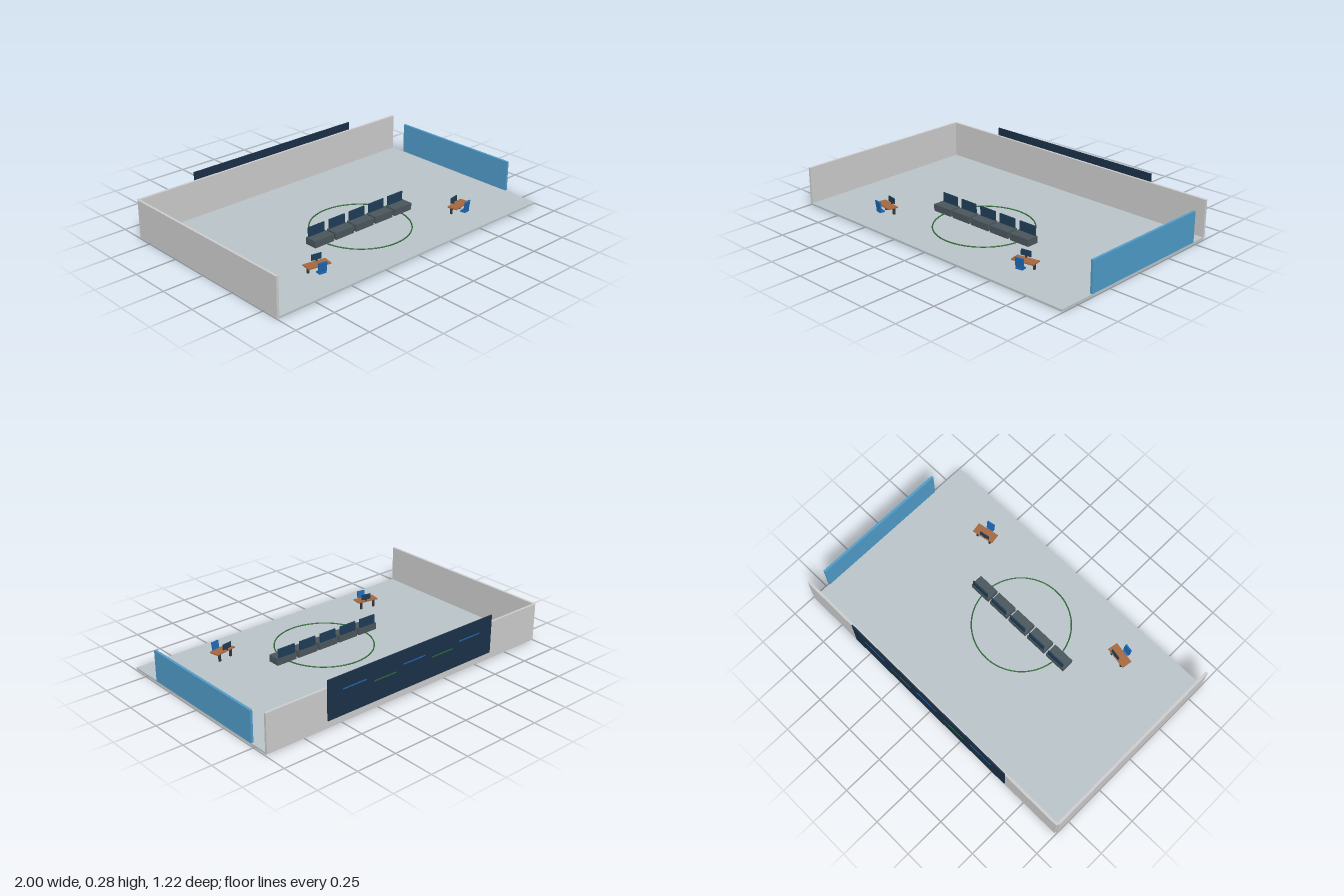
import * as THREE from 'three';

const mat = (color) => new THREE.MeshStandardMaterial({ color });
const M = {
  wall: mat(0xcccccc), floor: mat(0xb9c4c8), glass: mat(0x4f9bc8), board: mat(0x1b3048),
  blue: mat(0x1f68b4), green: mat(0x2f6b38), console: mat(0x4a565c), screen: mat(0x1f3d56),
  wood: mat(0xa5673f), dark: mat(0x33383c),
};

// Box given by its size and centre
function box(parent, name, material, [w, h, d], [x, y, z]) {
  const mesh = new THREE.Mesh(new THREE.BoxGeometry(w, h, d), material);
  mesh.name = name;
  mesh.position.set(x, y, z);
  parent.add(mesh);
  return mesh;
}

// Wide base with an upright display along its rear edge
function makeConsole(x) {
  const g = new THREE.Group();
  g.name = 'console';
  box(g, 'consoleBase', M.console, [0.137, 0.043, 0.077], [0, 0.0325, 0]);
  box(g, 'consoleDisplay', M.screen, [0.117, 0.058, 0.008], [0, 0.082, -0.032]);
  g.position.set(x, 0, 0.144);
  return g;
}

// Two-legged desk with a monitor and a chair; side is +1 or -1
function makeWorkstation(side) {
  const g = new THREE.Group();
  g.name = 'workstation';
  box(g, 'desktop', M.wood, [0.139, 0.007, 0.063], [0, 0.0615, 0]);
  for (const s of [-1, 1]) box(g, 'deskLeg', M.dark, [0.012, 0.046, 0.012], [s * 0.044, 0.035, -0.02]);
  box(g, 'monitorStand', M.dark, [0.01, 0.014, 0.005], [-side * 0.012, 0.07, -0.026]);
  box(g, 'monitor', M.screen, [0.063, 0.034, 0.006], [-side * 0.012, 0.091, -0.026]);

  const chair = new THREE.Group();
  chair.name = 'chair';
  box(chair, 'chairSeat', M.blue, [0.042, 0.008, 0.034], [0, 0.034, 0]);
  const back = box(chair, 'chairBack', M.blue, [0.05, 0.062, 0.009], [0, 0.067, 0.013]);
  back.rotation.x = 0.13;
  chair.position.set(0, 0, 0.043);
  g.add(chair);

  g.position.set(side * 0.551, 0, 0.395);
  g.rotation.y = side * 0.18;
  return g;
}

export function createModel() {
  const model = new THREE.Group();
  model.name = 'controlRoom';

  // Room shell, open at the front
  box(model, 'floor', M.floor, [1.984, 0.012, 1.205], [0, 0.006, 0.008]);
  box(model, 'backWall', M.wall, [1.984, 0.231, 0.015], [0, 0.1215, -0.595]);
  box(model, 'leftHandWall', M.wall, [0.015, 0.231, 1.2], [-0.9925, 0.1215, 0.01]);
  box(model, 'window', M.glass, [0.015, 0.187, 0.872], [0.9925, 0.1115, -0.047]);

  // Large board behind the back wall with a row of light strips
  box(model, 'wallBoard', M.board, [1.21, 0.235, 0.007], [0, 0.1675, -0.6063]);
  for (let i = -2; i <= 2; i++) {
    const blue = i % 2 === 0;
    box(model, 'lightStrip', blue ? M.blue : M.green, [0.16, 0.006, 0.004],
      [i * 0.212, blue ? 0.203 : 0.174, -0.61]);
  }

  // Ring marking on the floor
  const ring = new THREE.Mesh(new THREE.TorusGeometry(0.295, 0.004, 8, 64), M.green);
  ring.name = 'floorRing';
  ring.rotation.x = Math.PI / 2;
  ring.position.set(0, 0.0145, 0.144);
  model.add(ring);

  for (let i = -2; i <= 2; i++) model.add(makeConsole(i * 0.1535));
  for (const side of [-1, 1]) model.add(makeWorkstation(side));

  return model;
}
